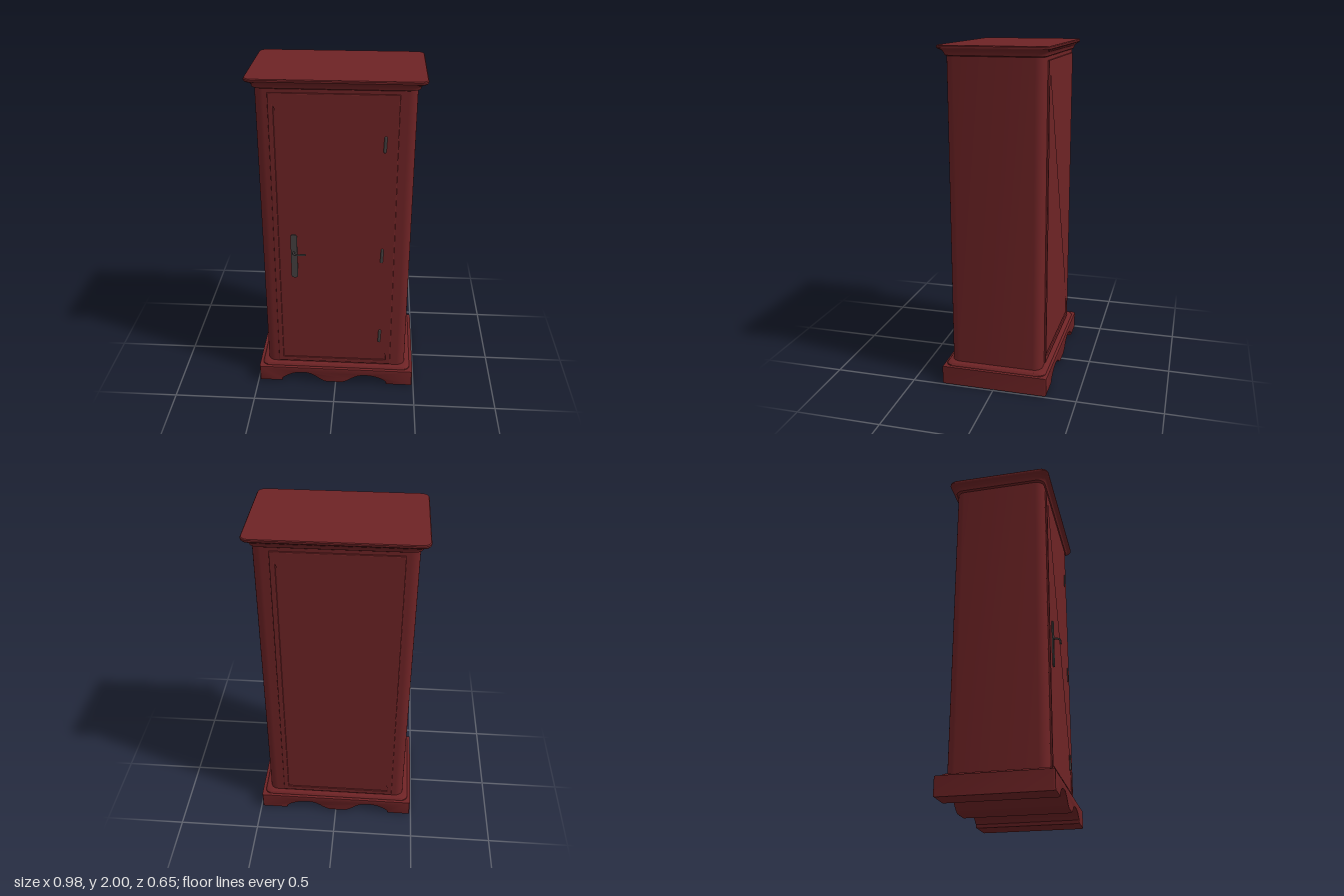
import * as THREE from 'three';
import { toCreasedNormals } from 'three/addons/utils/BufferGeometryUtils.js';

const wood = new THREE.MeshStandardMaterial({ color: 0x6e2325 });
wood.name = 'mahogany red';
const metal = new THREE.MeshStandardMaterial({ color: 0x454141 });
metal.name = 'dark iron';

function add(parent, name, geometry, material, x = 0, y = 0, z = 0) {
  const mesh = new THREE.Mesh(geometry, material);
  mesh.name = name;
  mesh.position.set(x, y, z);
  parent.add(mesh);
  return mesh;
}

// Outline points of a rounded rectangle
function roundedRect(hx, hy, r, cx = 0, cy = 0, steps = 6) {
  const pts = [];
  for (let q = 0; q < 4; q++) {
    const sx = q === 0 || q === 3 ? 1 : -1;
    const sy = q < 2 ? 1 : -1;
    for (let i = 0; i <= steps; i++) {
      const a = (q + i / steps) * Math.PI / 2;
      pts.push(new THREE.Vector2(
        cx + sx * (hx - r) + r * Math.cos(a),
        cy + sy * (hy - r) + r * Math.sin(a)));
    }
  }
  return pts;
}

// Stack of rounded rectangles, each [y, half width, half depth, corner radius]
function loft(levels) {
  const pos = [], index = [];
  const n = roundedRect(1, 1, 0.1).length;
  for (const [y, hx, hz, r] of levels) {
    for (const p of roundedRect(hx, hz, r)) pos.push(p.x, y, -p.y);
  }
  for (let k = 0; k < levels.length - 1; k++) {
    for (let i = 0; i < n; i++) {
      const a = k * n + i, b = k * n + (i + 1) % n;
      index.push(a, b, b + n, a, b + n, a + n);
    }
  }
  const top = (levels.length - 1) * n;
  for (let i = 1; i < n - 1; i++) {
    index.push(0, i + 1, i, top, top + i, top + i + 1);
  }
  const g = new THREE.BufferGeometry();
  g.setAttribute('position', new THREE.Float32BufferAttribute(pos, 3));
  g.setIndex(index);
  return toCreasedNormals(g, 0.5);
}

// Flat rounded plate with its back at z = 0
function plate(w, h, r, depth) {
  return new THREE.ExtrudeGeometry(new THREE.Shape(roundedRect(w / 2, h / 2, r)),
    { depth, bevelEnabled: false });
}

// Raised moulding around the door or back panel
function panelFrame(w, h, border, depth) {
  const shape = new THREE.Shape(roundedRect(w / 2, h / 2, 0.004));
  shape.holes.push(new THREE.Path(roundedRect(w / 2 - border, h / 2 - border, 0.004)));
  return new THREE.ExtrudeGeometry(shape, {
    depth, bevelThickness: 0.005, bevelSize: 0.005, bevelOffset: -0.005, bevelSegments: 2, curveSegments: 4,
  });
}

// Plinth with two arches cut through from front to back
function plinthGeometry() {
  const s = new THREE.Shape();
  s.moveTo(-0.49, 0);
  s.lineTo(-0.345, 0);
  s.lineTo(-0.34, 0.02);
  s.bezierCurveTo(-0.30, 0.05, -0.27, 0.068, -0.21, 0.068);
  s.bezierCurveTo(-0.13, 0.068, -0.12, 0.015, -0.06, 0.001);
  s.lineTo(0.04, 0.001);
  s.bezierCurveTo(0.10, 0.015, 0.11, 0.062, 0.19, 0.062);
  s.bezierCurveTo(0.25, 0.062, 0.29, 0.045, 0.32, 0.02);
  s.lineTo(0.325, 0);
  s.lineTo(0.49, 0);
  s.lineTo(0.49, 0.112);
  s.lineTo(-0.49, 0.112);
  s.closePath();
  const g = new THREE.ExtrudeGeometry(s, {
    depth: 0.616, bevelThickness: 0.012, bevelSize: 0.008, bevelOffset: -0.008,
    bevelSegments: 3, curveSegments: 12,
  });
  g.translate(0, 0, -0.308);
  return toCreasedNormals(g, 0.5);
}

export function createModel() {
  const model = new THREE.Group();
  model.name = 'cabinet';

  add(model, 'plinth', plinthGeometry(), wood);
  add(model, 'plinthMoulding', loft([
    [0.105, 0.472, 0.305, 0.04], [0.118, 0.47, 0.303, 0.04],
    [0.127, 0.462, 0.296, 0.04], [0.132, 0.445, 0.282, 0.04],
  ]), wood);
  add(model, 'carcass', loft([[0.12, 0.438, 0.276, 0.05], [1.96, 0.438, 0.276, 0.05]]), wood);
  add(model, 'cornice', loft([
    [1.94, 0.438, 0.276, 0.05], [1.945, 0.452, 0.284, 0.05],
    [1.958, 0.455, 0.287, 0.05], [1.968, 0.463, 0.293, 0.05],
    [1.976, 0.476, 0.303, 0.05], [1.981, 0.486, 0.311, 0.045],
    [1.986, 0.489, 0.314, 0.045], [1.995, 0.489, 0.314, 0.045],
    [2.0, 0.485, 0.31, 0.043],
  ]), wood);

  // Front door and matching back panel
  for (const side of [1, -1]) {
    const panel = new THREE.Group();
    panel.name = side > 0 ? 'door' : 'backPanel';
    panel.position.set(-0.01, 1.03, side * 0.276);
    if (side < 0) panel.rotation.y = Math.PI;
    add(panel, 'moulding', panelFrame(0.71, 1.78, 0.03, 0.004), wood);
    add(panel, 'panelBoard', plate(0.634, 1.704, 0.004, 0.004), wood);
    model.add(panel);
  }

  // Lever handle on its long escutcheon
  const handle = new THREE.Group();
  handle.name = 'handle';
  handle.position.set(-0.246, 0.95, 0.279);
  add(handle, 'escutcheon', plate(0.038, 0.29, 0.014, 0.009), metal, 0, -0.03, 0);
  const lever = new THREE.CatmullRomCurve3([
    new THREE.Vector3(0, 0, 0), new THREE.Vector3(0, 0, 0.03),
    new THREE.Vector3(0.012, 0, 0.041), new THREE.Vector3(0.068, 0, 0.039),
  ]);
  add(handle, 'lever', new THREE.TubeGeometry(lever, 16, 0.006, 8), metal);
  add(handle, 'leverTip', new THREE.SphereGeometry(0.006, 8, 6), metal, 0.068, 0, 0.039);
  model.add(handle);

  // Three hinges along the door edge
  for (const y of [1.64, 0.94, 0.36]) {
    const hinge = add(model, 'hinge', new THREE.CapsuleGeometry(0.0095, 0.08, 4, 10), metal, 0.273, y, 0.281);
    hinge.rotation.z = -0.04;
  }

  // Thin slanted strip high on the back
  const strip = new THREE.Shape([
    new THREE.Vector2(-0.15, 1.735), new THREE.Vector2(0.03, 1.787),
    new THREE.Vector2(-0.05, 1.787), new THREE.Vector2(-0.15, 1.76),
  ]);
  const back = add(model, 'backStrip',
    new THREE.ExtrudeGeometry(strip, { depth: 0.003, bevelEnabled: false }), metal, 0, 0, -0.279);
  back.rotation.y = Math.PI;

  return model;
}
